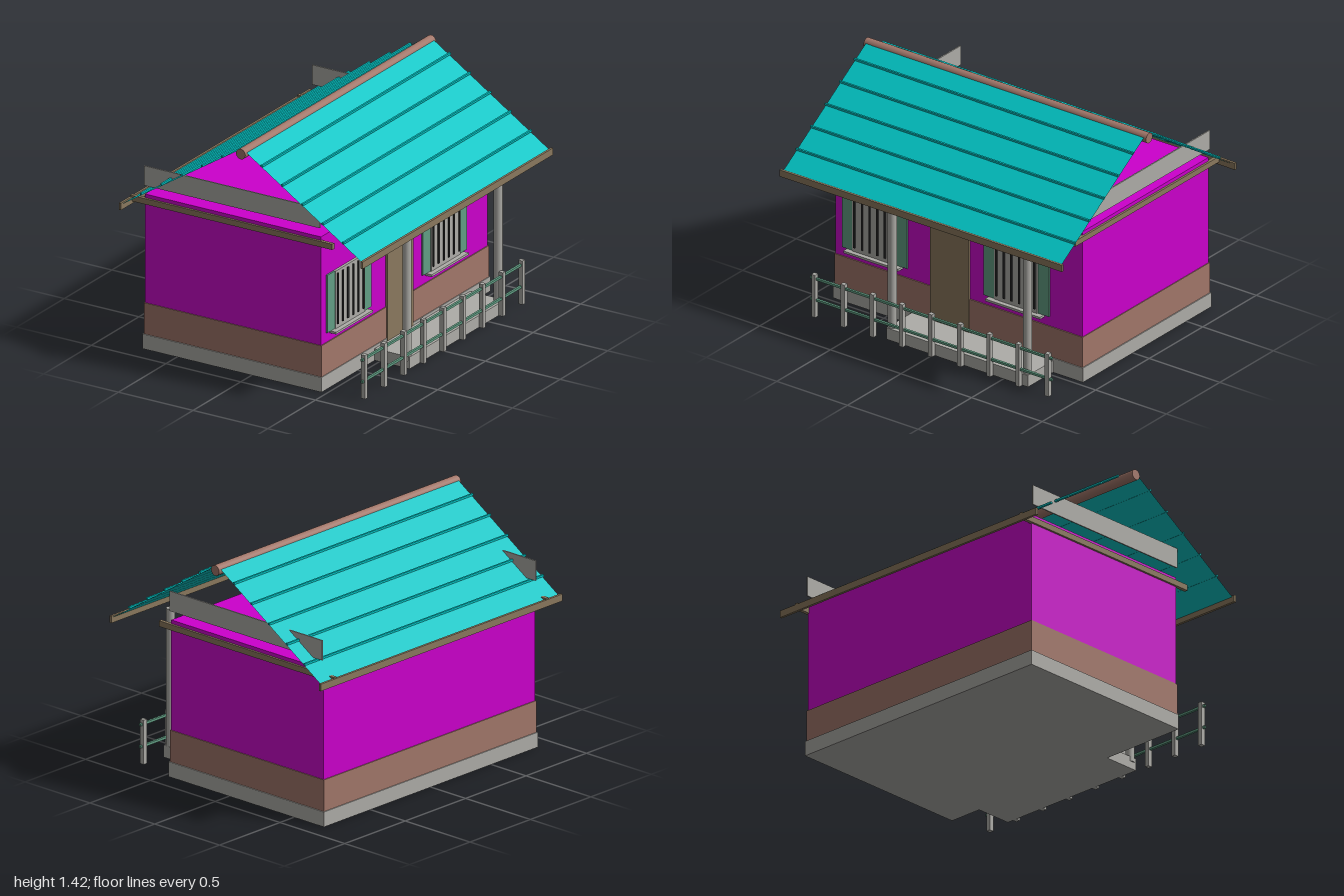
import * as THREE from 'three';

const mat = (name, color, side = THREE.FrontSide) => {
  const m = new THREE.MeshStandardMaterial({ color, side });
  m.name = name;
  return m;
};

export function createModel() {
  const house = new THREE.Group();
  house.name = 'house';

  const concrete = mat('concrete grey', 0xaeada8);
  const magenta = mat('wall magenta', 0xcc00cc);
  const clay = mat('clay brown', 0xa2776a);
  const wood = mat('wood brown', 0x8b795e);
  const teal = mat('roof teal', 0x00c5c5, THREE.DoubleSide);
  const green = mat('shutter green', 0x629f85);
  const dark = mat('bar black', 0x2f2f2f);

  // box given by its minimum and maximum on each axis
  const box = (name, material, [x0, x1], [y0, y1], [z0, z1], parent = house) => {
    const mesh = new THREE.Mesh(new THREE.BoxGeometry(x1 - x0, y1 - y0, z1 - z0), material);
    mesh.position.set((x0 + x1) / 2, (y0 + y1) / 2, (z0 + z1) / 2);
    mesh.name = name;
    parent.add(mesh);
    return mesh;
  };
  const around = (c, size) => [c - size / 2, c + size / 2];

  // foundation, walls and porch
  box('foundation', concrete, [-0.732, 0.468], [0, 0.09], [-0.885, 0.885]);
  box('porchSlab', concrete, [0.468, 0.702], [0, 0.073], [-0.673, 0.328]);
  box('wainscot', clay, [-0.726, 0.463], [0.09, 0.28], [-0.879, 0.879]);
  box('walls', magenta, [-0.72, 0.457], [0.28, 0.943], [-0.874, 0.874]);
  box('door', wood, [0.45, 0.47], [0.073, 0.69], [-0.078, 0.196]);

  // windows with shutters, grille and sill
  for (const z of [0.592, -0.412]) {
    const win = new THREE.Group();
    win.name = 'window';
    house.add(win);
    for (const s of [-1, 1])
      box('shutter', green, [0.45, 0.467], [0.34, 0.692], around(z + s * 0.192, 0.078), win);
    box('pane', concrete, [0.45, 0.473], [0.34, 0.692], around(z, 0.306), win);
    for (let i = 0; i < 6; i++)
      box('bar', dark, [0.473, 0.48], [0.365, 0.675], around(z + (i - 2.5) * 0.054, 0.011), win);
    box('sill', concrete, [0.45, 0.502], [0.326, 0.34], around(z, 0.388), win);
  }

  // porch columns
  for (const z of [0.31, -0.648]) {
    const column = new THREE.Mesh(new THREE.CylinderGeometry(0.026, 0.026, 0.855, 20), concrete);
    column.position.set(0.672, 0.4725, z);
    column.name = 'porchColumn';
    house.add(column);
  }

  // railing
  for (let i = 0; i < 9; i++)
    box('railPost', concrete, [0.702, 0.73], [0, 0.267], around(0.826 - i * 0.2065, 0.027));
  for (const y of [0.24, 0.107])
    box('rail', green, around(0.716, 0.014), around(y, 0.014), [-0.855, 0.855]);

  // roof: two thin slopes with ribs and eave boards
  const apex = 1.418, pitch = 0.643, halfSpan = 0.802;
  const slopeLength = halfSpan * Math.hypot(1, pitch);
  for (const s of [-1, 1]) {
    const geo = new THREE.PlaneGeometry(slopeLength, 1.97);
    geo.rotateX(-Math.PI / 2);
    geo.rotateZ(-s * Math.atan(pitch));
    const slope = new THREE.Mesh(geo, teal);
    slope.position.set(s * halfSpan / 2, apex - pitch * halfSpan / 2, 0);
    slope.name = 'roofSlope';
    house.add(slope);
    for (let i = 0; i < 5; i++) {
      const x = 0.132 + i * 0.136;
      box('roofRib', teal, around(s * x, 0.012), around(apex - pitch * x + 0.009, 0.012), [-0.988, 0.988]);
    }
    box('eaveBoard', wood, around(s * 0.808, 0.015), [0.87, 0.912], [-1, 1]);

    // gable end board and beam
    box('gableBoard', concrete, [-0.72, 0.457], [1.0, 1.12], around(s * 0.882, 0.008));
    box('gableBeam', wood, [-0.812, 0.54], [0.886, 0.921], around(s * 0.876, 0.022));
  }

  // ridge cap
  const ridge = new THREE.Mesh(new THREE.CylinderGeometry(0.031, 0.031, 2, 24), clay);
  ridge.rotation.x = Math.PI / 2;
  ridge.position.y = 1.39;
  ridge.name = 'ridgeCap';
  house.add(ridge);

  return house;
}
